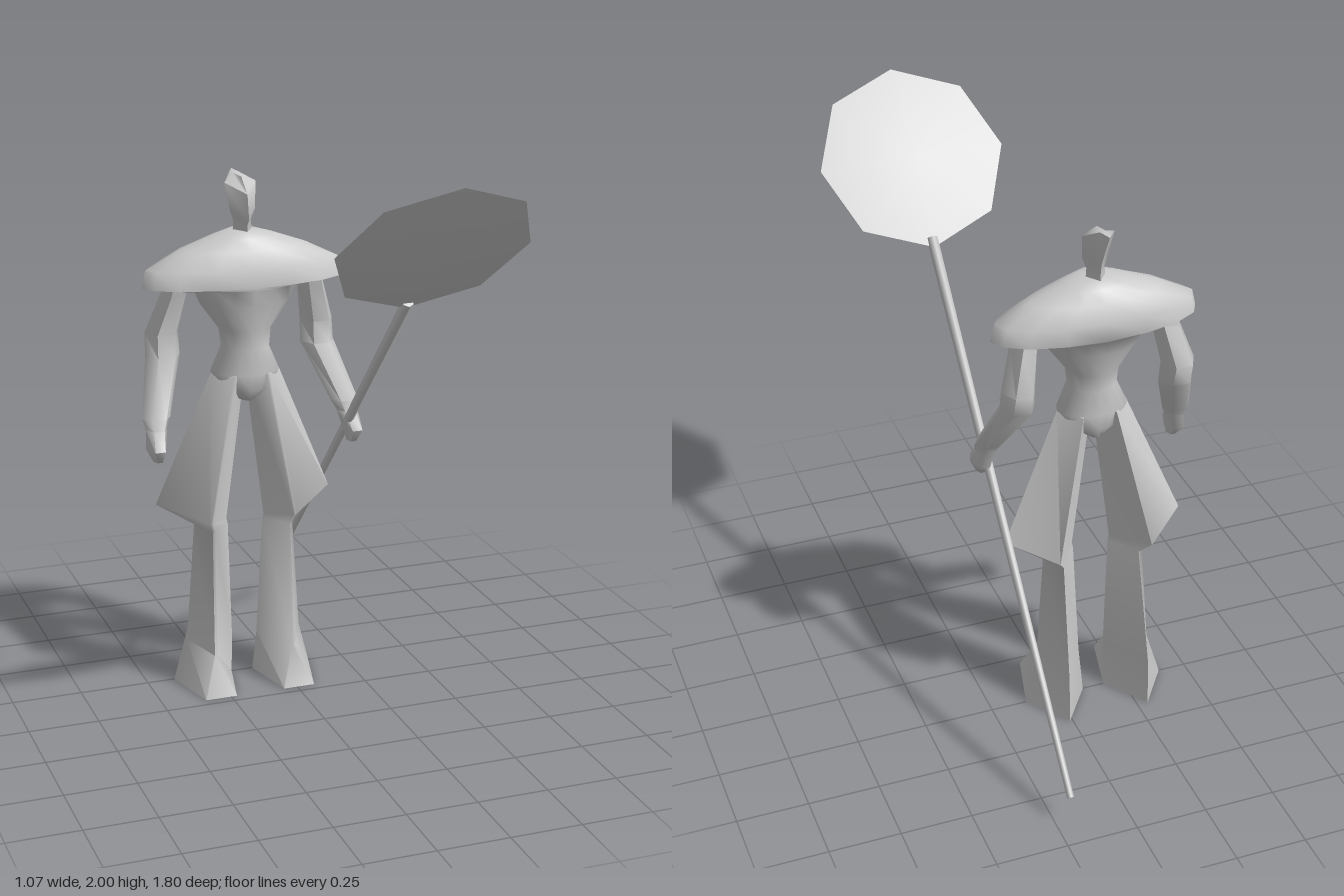
import * as THREE from 'three';
import { toCreasedNormals } from 'three/addons/utils/BufferGeometryUtils.js';

const MID = -0.14; // the figure's own centre line
const material = new THREE.MeshStandardMaterial({ color: 0xcccccc });

function addMesh(parent, name, geometry, crease = 1.1) {
  const mesh = new THREE.Mesh(toCreasedNormals(geometry, crease), material);
  mesh.name = name;
  parent.add(mesh);
  return mesh;
}

// Skin a stack of rings (top to bottom, each running from +x towards +z) and cap both ends
function loft(rings) {
  const n = rings[0].length, pos = rings.flat(2), index = [];
  for (let r = 0; r < rings.length - 1; r++) {
    for (let i = 0; i < n; i++) {
      const a = r * n + i, b = r * n + (i + 1) % n;
      index.push(a, b, a + n, b, b + n, a + n);
    }
  }
  for (const r of [0, rings.length - 1]) {
    const c = pos.length / 3;
    for (let k = 0; k < 3; k++) pos.push(rings[r].reduce((t, p) => t + p[k], 0) / n);
    for (let i = 0; i < n; i++) {
      const a = r * n + i, b = r * n + (i + 1) % n;
      index.push(c, ...(r === 0 ? [b, a] : [a, b]));
    }
  }
  const g = new THREE.BufferGeometry();
  g.setAttribute('position', new THREE.Float32BufferAttribute(pos, 3));
  g.setIndex(index);
  return g;
}

// Ellipse ring from centre, half width and z extents
function ring(n, x, y, hw, front, back) {
  return Array.from({ length: n }, (_, i) => {
    const a = (i / n) * Math.PI * 2;
    return [x + hw * Math.cos(a), y, (front + back) / 2 + (front - back) / 2 * Math.sin(a)];
  });
}

// Place points given outwards from the centre line on side s (+1 left, -1 right)
function onSide(s, points) {
  const p = points.map(([x, y, z]) => [MID + s * x, y, z]);
  return s > 0 ? p : p.reverse();
}

export function createModel() {
  const model = new THREE.Group();
  model.name = 'spearBearer';

  // Torso with broad shoulder caps: y, half width, front z, back z
  const torso = [
    [1.67, 0.05, -0.14, -0.255], [1.65, 0.12, -0.12, -0.28], [1.61, 0.23, -0.095, -0.31],
    [1.55, 0.35, -0.075, -0.33], [1.49, 0.365, -0.065, -0.335], [1.48, 0.185, -0.065, -0.325],
    [1.42, 0.16, -0.075, -0.305], [1.325, 0.092, -0.1, -0.275], [1.26, 0.085, -0.105, -0.265],
    [1.17, 0.125, -0.105, -0.275], [1.11, 0.09, -0.11, -0.27], [1.07, 0.03, -0.14, -0.25],
  ];
  addMesh(model, 'torso', loft(torso.map(([y, w, f, b]) => ring(16, MID, y, w, f, b))));

  // Diamond-section head with a swept-back crest: half width, then [y, z] of side, front, back
  const head = [
    [0.012, [1.855, -0.265], [1.85, -0.21], [1.86, -0.322]],
    [0.056, [1.83, -0.225], [1.80, -0.143], [1.80, -0.29]],
    [0.046, [1.74, -0.2], [1.715, -0.128], [1.73, -0.256]],
    [0.032, [1.70, -0.205], [1.69, -0.148], [1.69, -0.25]],
    [0.036, [1.64, -0.205], [1.64, -0.148], [1.64, -0.255]],
  ];
  addMesh(model, 'head', loft(head.map(([w, s, f, b]) =>
    [[MID + w, ...s], [MID, ...f], [MID - w, ...s], [MID, ...b]])));

  // Skirted leg and foot: outer, front outer, front inner, inner, back
  const leg = [
    [[0.125, 1.17, -0.19], [0.065, 1.17, -0.11], [0.055, 1.17, -0.11], [0, 1.17, -0.19], [0.06, 1.17, -0.27]],
    [[0.325, 0.695, -0.22], [0.16, 0.64, -0.1], [0.15, 0.64, -0.1], [0.07, 0.62, -0.2], [0.17, 0.65, -0.35]],
    [[0.185, 0.605, -0.22], [0.145, 0.6, -0.125], [0.135, 0.6, -0.125], [0.065, 0.6, -0.2], [0.14, 0.6, -0.305]],
    [[0.215, 0.16, -0.23], [0.152, 0.14, -0.095], [0.142, 0.14, -0.095], [0.047, 0.16, -0.22], [0.15, 0.18, -0.395]],
    [[0.26, 0, -0.25], [0.205, 0, -0.035], [0.09, 0, -0.035], [0.04, 0, -0.25], [0.15, 0, -0.405]],
  ];

  // Arm and hand: outward x, y, half width, front z, back z
  const arm = [
    [0.24, 1.52, 0.045, -0.13, -0.27], [0.25, 1.46, 0.048, -0.14, -0.275],
    [0.285, 1.32, 0.06, -0.175, -0.32], [0.285, 1.24, 0.062, -0.17, -0.3],
    [0.345, 1.05, 0.05, -0.07, -0.165], [0.35, 1.015, 0.038, -0.06, -0.14],
    [0.36, 0.955, 0.036, -0.01, -0.135], [0.355, 0.91, 0.018, -0.04, -0.09],
  ];

  for (const [s, side] of [[1, 'left'], [-1, 'right']]) {
    addMesh(model, side + 'Leg', loft(leg.map((r) => onSide(s, r))));
    addMesh(model, side + 'Arm', loft(arm.map(([x, y, w, f, b]) => onSide(s, ring(6, x, y, w, f, b)))));
  }

  // Spear held in the left hand, tilted forward
  const spear = new THREE.Group();
  spear.name = 'spear';
  spear.position.set(0.2, 1.05, 0);
  spear.rotation.x = Math.atan2(1.8, 1.9);
  const pole = addMesh(spear, 'pole', new THREE.CylinderGeometry(0.02, 0.012, 1.98, 6));
  pole.position.y = -0.31;
  // Flat eight-sided blade, thickest at its centre
  const bladeShape = new THREE.SphereGeometry(0.332, 8, 2).scale(1, 0.135, 1).rotateX(Math.PI / 2);
  const blade = addMesh(spear, 'blade', bladeShape);
  blade.position.y = 0.977;
  model.add(spear);

  return model;
}
